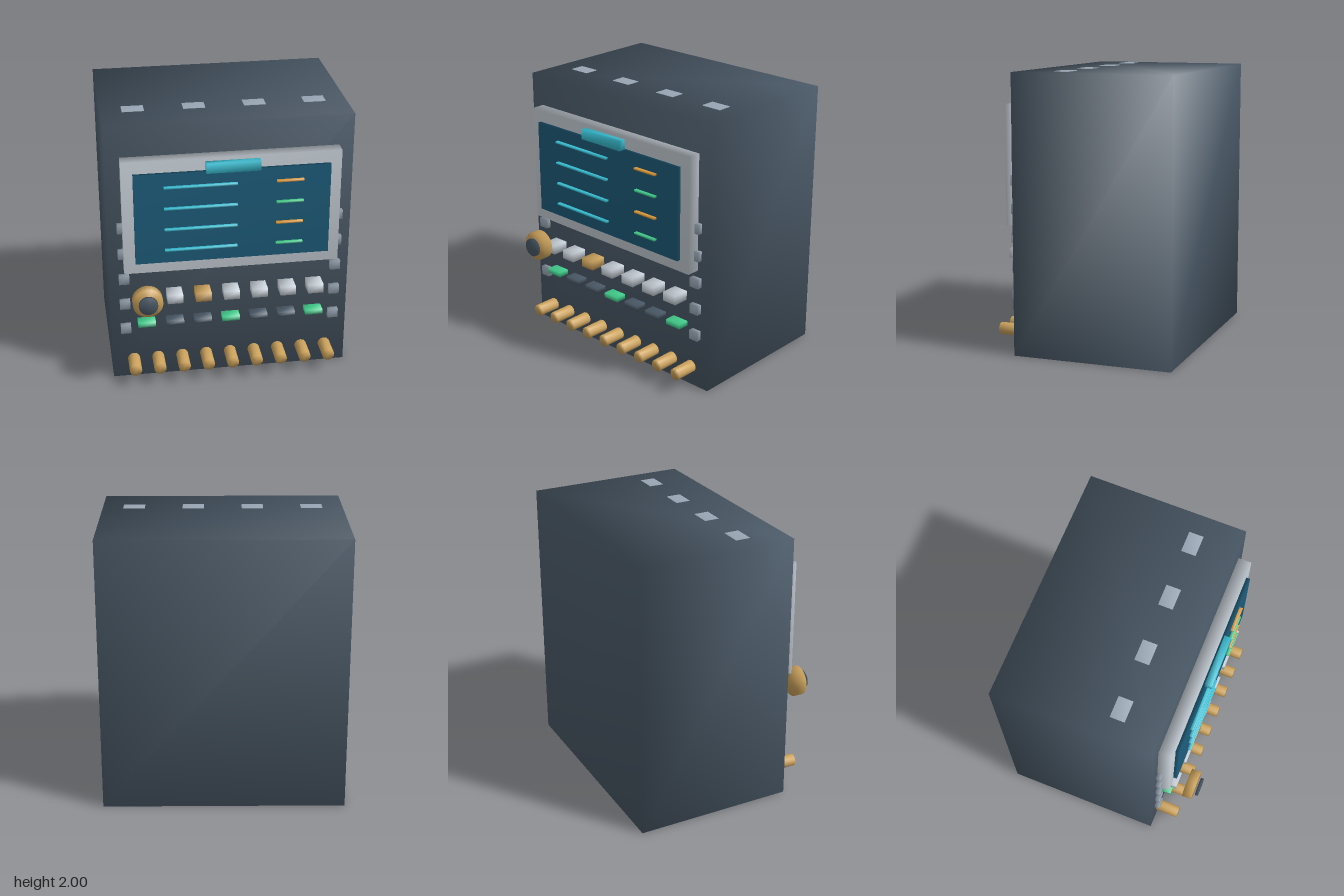
import * as THREE from 'three';
import { mergeVertices } from 'three/addons/utils/BufferGeometryUtils.js';

const mat = (name, color) => {
  const m = new THREE.MeshStandardMaterial({ color });
  m.name = name;
  return m;
};

// Share the corners so normals blend softly across the edges
function soften(geometry) {
  geometry.deleteAttribute('normal');
  geometry.deleteAttribute('uv');
  const g = mergeVertices(geometry, 1e-4);
  g.computeVertexNormals();
  return g;
}

export function createModel() {
  const group = new THREE.Group();
  const slate = mat('slate', 0x4a5967);
  const silver = mat('silver', 0xc6ced6);
  const steel = mat('steel', 0x98a5b3);
  const glass = mat('screen blue', 0x1d5c7a);
  const cyan = mat('cyan', 0x38c0d4);
  const green = mat('green', 0x42cc8c);
  const gold = mat('gold', 0xcba25c);
  const orange = mat('orange', 0xdc9a3c);

  function add(name, geometry, material, x, y, z) {
    const mesh = new THREE.Mesh(soften(geometry), material);
    mesh.name = name;
    mesh.position.set(x, y, z);
    group.add(mesh);
    return mesh;
  }
  // Box given by centre x, y, size w, h, and its back and front z
  const box = (name, material, x, y, w, h, z0, z1) =>
    add(name, new THREE.BoxGeometry(w, h, z1 - z0), material, x, y, (z0 + z1) / 2);
  // Disc or rod pointing forwards
  const rod = (name, material, x, y, r, z0, z1, sides) =>
    add(name, new THREE.CylinderGeometry(r, r, z1 - z0, sides).rotateX(Math.PI / 2),
      material, x, y, (z0 + z1) / 2);

  // Cabinet and display
  const front = 0.433;
  box('cabinet', slate, 0, 0.998, 1.74, 1.996, -0.727, front);
  box('bezel', silver, 0, 1.343, 1.535, 0.855, front, 0.528);
  box('screen', glass, 0, 1.342, 1.375, 0.68, 0.528, 0.556);
  box('displayTab', cyan, 0, 1.72, 0.375, 0.072, 0.545, 0.596);

  // Readout lines on the screen
  for (let i = 0; i < 4; i++) {
    const y = 1.585 - i * 0.16;
    box('traceLine', cyan, -0.225, y, 0.51, 0.014, 0.554, 0.58);
    box('valueLine', i % 2 ? green : orange, 0.4, y, 0.19, 0.014, 0.554, 0.58);
  }

  // Two rows of keys
  for (let i = 0; i < 7; i++) {
    const x = -0.617 + i * 0.205;
    box('key', i === 2 ? gold : silver, x, 0.693, 0.112, 0.068, front, 0.555);
    box('indicator', i % 3 ? slate : green, x, 0.475, 0.128, 0.037, front, 0.517);
  }

  // Dial
  rod('dial', gold, -0.62, 0.755, 0.108, 0.621, 0.691, 24);
  rod('dialCap', slate, -0.62, 0.755, 0.068, 0.706, 0.727, 24);

  // Row of sockets along the bottom
  for (let i = 0; i < 9; i++) {
    rod('socket', gold, -0.716 + i * 0.179, 0.148, 0.045, front, 0.603, 12);
  }

  // Clips down both sides
  for (const side of [-1, 1]) {
    for (let i = 0; i < 5; i++) {
      box('sideClip', steel, side * 0.768, 1.241 - i * 0.204, 0.074, 0.07, 0.437, 0.474);
    }
  }

  // Vents on top
  for (let i = 0; i < 4; i++) {
    box('topVent', steel, -0.643 + i * 0.4285, 1.995, 0.155, 0.01, 0.07, 0.175);
  }

  return group;
}
